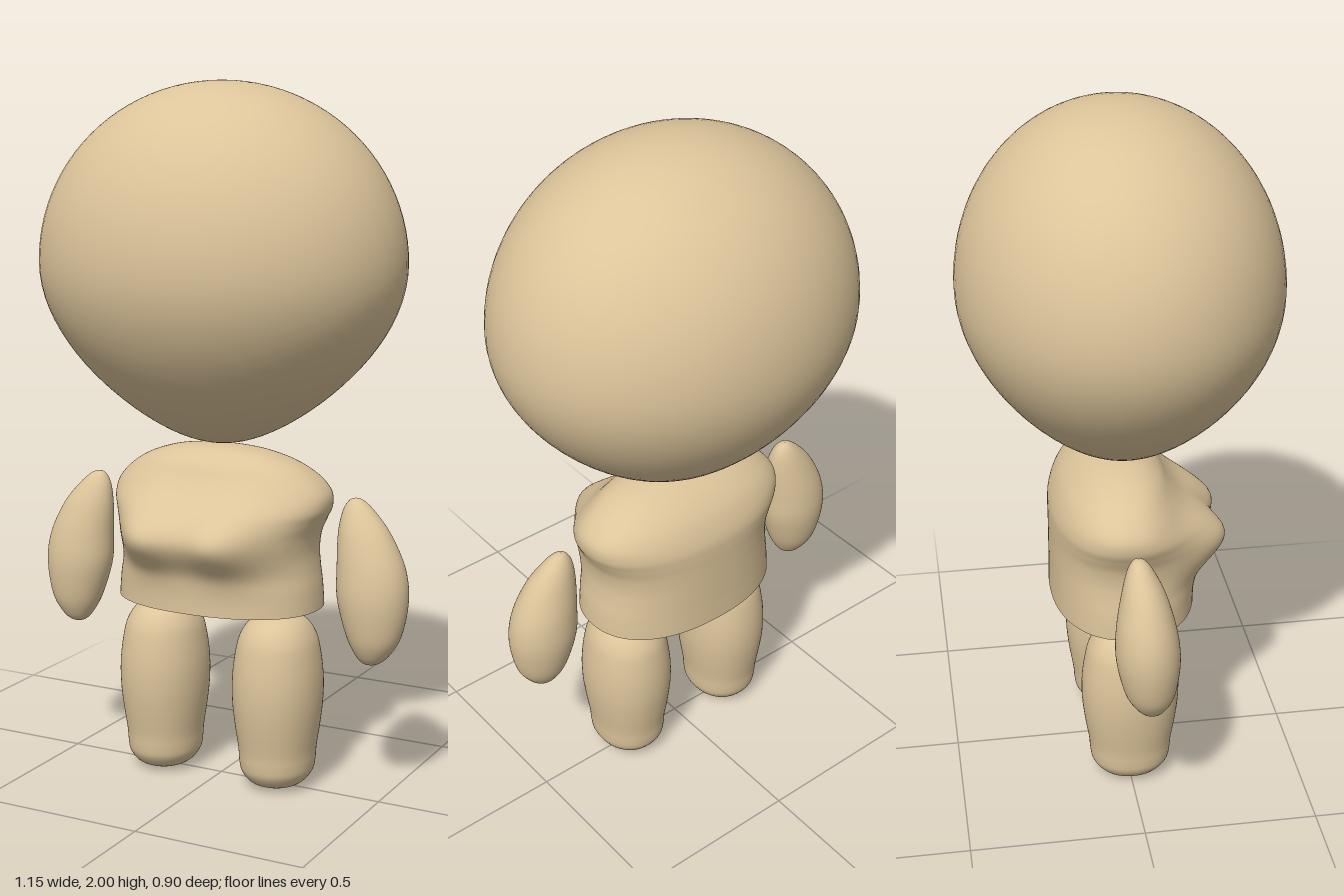
import * as THREE from 'three';

const skin = new THREE.MeshStandardMaterial({ color: 0xdcc49a });
skin.name = 'skin';

// Smooth loft of horizontal loops, bottom to top. Row: [y, centreX, halfWidth, centreZ, halfDepth]
function loft(rows, { power = 2, push = null, rings = 48, sides = 64 } = {}) {
  const centre = new THREE.CatmullRomCurve3(
    rows.map(([y, cx, , cz]) => new THREE.Vector3(cx, y, cz)), false, 'catmullrom', 0.5);
  const size = new THREE.SplineCurve(rows.map(([, , w, , d]) => new THREE.Vector2(w, d)));
  const pos = [], index = [];
  const bend = (v) => Math.sign(v) * Math.abs(v) ** (2 / power);
  for (let j = 0; j <= rings; j++) {
    const c = centre.getPoint(j / rings), s = size.getPoint(j / rings);
    for (let i = 0; i < sides; i++) {
      const a = (i / sides) * Math.PI * 2;
      const p = new THREE.Vector3(
        c.x + Math.max(s.x, 0) * bend(Math.cos(a)), c.y, c.z + Math.max(s.y, 0) * bend(Math.sin(a)));
      if (push) push(p);
      pos.push(p.x, p.y, p.z);
      if (j < rings) {
        const n = (i + 1) % sides, k = j * sides;
        index.push(k + i, k + sides + i, k + n, k + n, k + sides + i, k + sides + n);
      }
    }
  }
  const g = new THREE.BufferGeometry();
  g.setAttribute('position', new THREE.Float32BufferAttribute(pos, 3));
  g.setIndex(index);
  g.computeVertexNormals();
  return g;
}

// Egg-shaped head, narrower towards the chin
function headGeometry() {
  const pts = [];
  for (let i = 0; i <= 48; i++) {
    const t = (i / 48 - 0.5) * Math.PI, v = Math.sin(t);
    const taper = v < 0 ? 1 - 0.28 * v * v : 1;
    pts.push(new THREE.Vector2(Math.max(Math.cos(t) * taper, 0) * 0.532, 1.5 + v * (v < 0 ? 0.51 : 0.5)));
  }
  return new THREE.LatheGeometry(pts, 72).scale(1, 1, 0.448 / 0.532);
}

// Two soft bumps that shape the chest
function chest(p) {
  if (p.z <= 0) return;
  const bump = (x) => Math.exp(-(((p.x - x) / 0.085) ** 2) / 2);
  p.z += 0.1 * Math.min(1, p.z / 0.1) * Math.exp(-(((p.y - 0.75) / 0.065) ** 2) / 2) * (bump(0.12) + bump(-0.12));
}

export function createModel() {
  const model = new THREE.Group();
  model.name = 'figure';
  const add = (name, geometry) => {
    const m = new THREE.Mesh(geometry, skin);
    m.name = name;
    model.add(m);
    return m;
  };

  add('head', headGeometry());

  // Torso with a flat underside
  const rim = [0.535, 0, 0.307, 0.002, 0.208];
  add('torso', loft([
    rim,
    [0.6, 0, 0.302, 0.001, 0.206],
    [0.65, 0, 0.294, -0.002, 0.203],
    [0.7, 0, 0.29, -0.002, 0.203],
    [0.75, 0, 0.297, -0.003, 0.202],
    [0.79, 0, 0.314, -0.006, 0.199],
    [0.825, 0, 0.329, -0.01, 0.192],
    [0.865, 0, 0.326, -0.016, 0.172],
    [0.905, 0, 0.293, -0.016, 0.149],
    [0.943, 0, 0.235, -0.008, 0.118],
    [0.97, 0, 0.16, -0.002, 0.078],
    [0.983, 0, 0.08, 0, 0.04],
    [0.988, 0, 0, 0, 0],
  ], { power: 2.25, push: chest, rings: 72, sides: 96 }));
  add('torsoUnderside', loft([[0.535, 0, 0, 0.002, 0], rim], { power: 2.25, rings: 1, sides: 96 }));

  // Teardrop arms and rounded legs, one pair per side
  for (const [side, s] of [['left', 1], ['right', -1]]) {
    add(side + 'Arm', loft([
      [0.405, 0.475 * s, 0, 0.02, 0],
      [0.412, 0.477 * s, 0.024, 0.019, 0.022],
      [0.435, 0.48 * s, 0.048, 0.017, 0.045],
      [0.49, 0.482 * s, 0.078, 0.013, 0.071],
      [0.59, 0.476 * s, 0.101, 0.008, 0.088],
      [0.68, 0.468 * s, 0.097, 0.004, 0.082],
      [0.77, 0.446 * s, 0.076, 0, 0.061],
      [0.83, 0.426 * s, 0.047, -0.006, 0.038],
      [0.86, 0.417 * s, 0.021, -0.009, 0.018],
      [0.868, 0.414 * s, 0, -0.01, 0],
    ]));
    const legProfile = [
      [0.002, 0], [0.006, 0.04], [0.02, 0.077], [0.05, 0.1], [0.08, 0.106], [0.12, 0.109], [0.19, 0.119],
      [0.26, 0.126], [0.33, 0.126], [0.4, 0.118], [0.45, 0.106], [0.49, 0.08], [0.51, 0.042], [0.515, 0],
    ];
    add(side + 'Leg', loft(legProfile.map(([y, r]) => [y, 0.185 * s, r, 0.004, r * 1.12]), { power: 2.1 }));
  }
  return model;
}
